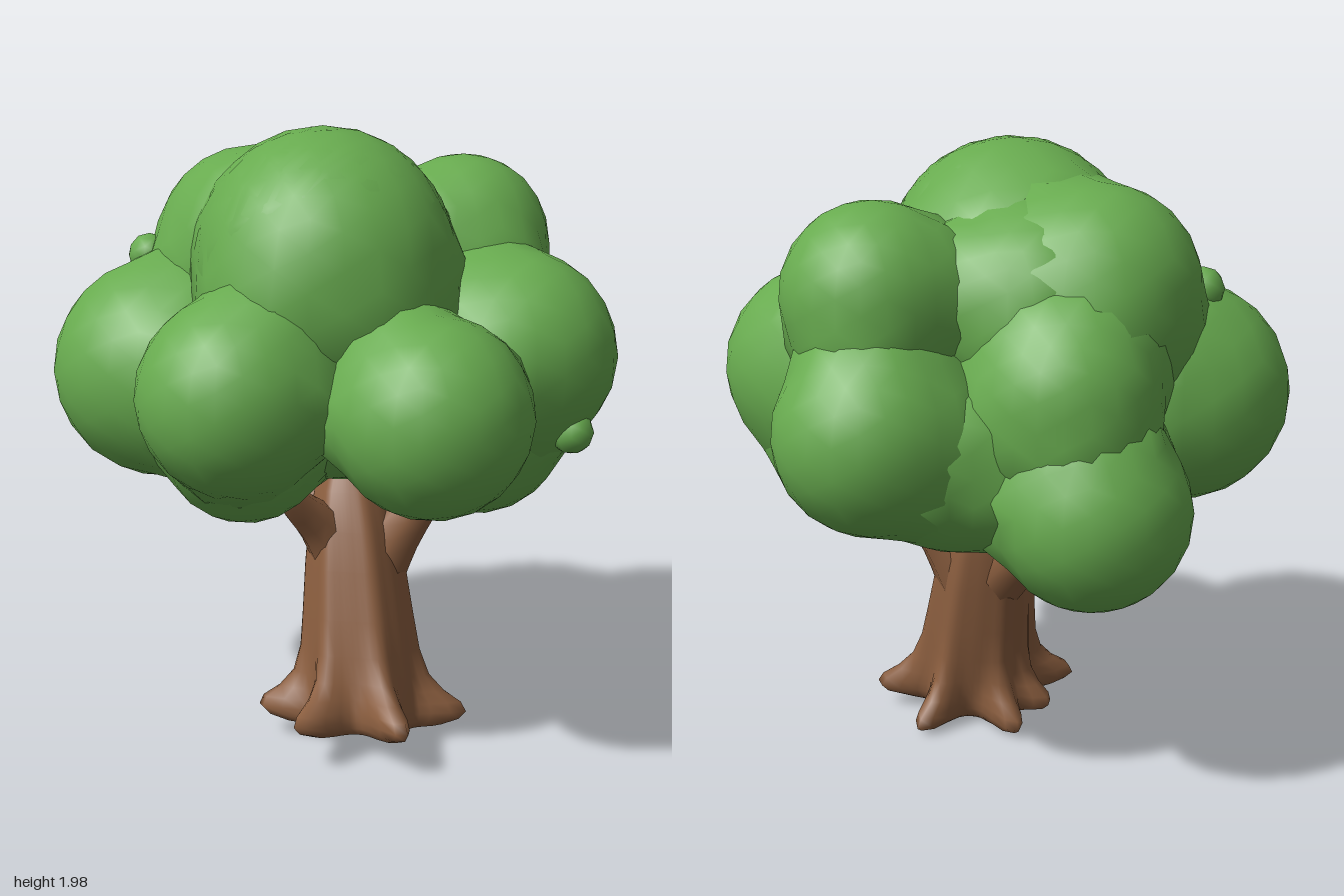
import * as THREE from 'three';
import { mergeVertices } from 'three/addons/utils/BufferGeometryUtils.js';

const leaf = new THREE.MeshStandardMaterial({ color: 0x68ab4f });
leaf.name = 'leaf green';
const bark = new THREE.MeshStandardMaterial({ color: 0x8b5e3f });
bark.name = 'bark brown';

// Leaf clumps: name, x, y, z, radius
const clumps = [
  ['crownClump', 0.01, 1.575, 0.17, 0.385],
  ['crownTopClump', -0.02, 1.61, 0.09, 0.38],
  ['frontRightClump', -0.22, 1.24, 0.47, 0.305],
  ['frontRightLowerClump', -0.24, 1.04, 0.26, 0.26],
  ['frontLeftClump', 0.36, 1.2, 0.47, 0.305],
  ['rightClump', -0.55, 1.205, 0.03, 0.355],
  ['leftClump', 0.57, 1.28, -0.02, 0.33],
  ['leftLowerClump', 0.45, 1.035, -0.07, 0.3],
  ['backLeftUpperClump', 0.38, 1.58, -0.32, 0.285],
  ['backRightUpperClump', -0.28, 1.57, -0.17, 0.33],
  ['backUpperClump', -0.03, 1.55, -0.23, 0.27],
  ['backMiddleClump', -0.2, 1.31, -0.41, 0.29],
  ['backLeftClump', 0.37, 1.19, -0.48, 0.305],
  ['backLowerClump', 0.13, 1.07, -0.4, 0.26],
  ['backRightLowerClump', -0.28, 0.965, -0.48, 0.305],
  ['innerClump', 0.05, 1.28, 0, 0.42],
].map(([name, x, y, z, r]) => ({ name, c: new THREE.Vector3(x, y, z), r }));

// Distance to all clumps, softly joined
function softDistance(p) {
  const k = 0.03;
  let sum = 0;
  for (const { c, r } of clumps) sum += Math.exp(-(p.distanceTo(c) - r) / k);
  return -k * Math.log(sum);
}

function addMesh(parent, name, geometry, material) {
  const m = new THREE.Mesh(geometry, material);
  m.name = name;
  parent.add(m);
  return m;
}

// Weld seams so that normals can be smooth all round
function weld(geometry) {
  geometry.deleteAttribute('uv');
  geometry.deleteAttribute('normal');
  return mergeVertices(geometry, 1e-5);
}

// Sphere whose surface swells a little where it meets its neighbours
function clumpGeometry({ c, r }) {
  const g = weld(new THREE.IcosahedronGeometry(r, 3));
  const pos = g.attributes.position;
  const p = new THREE.Vector3();
  const dir = new THREE.Vector3();
  for (let i = 0; i < pos.count; i++) {
    dir.fromBufferAttribute(pos, i).normalize();
    let d = r;
    for (let n = 0; n < 4; n++) {
      p.copy(c).addScaledVector(dir, d);
      d = THREE.MathUtils.clamp(d - softDistance(p), r, r + 0.05);
    }
    pos.setXYZ(i, dir.x * d, dir.y * d, dir.z * d);
  }
  g.computeVertexNormals();
  return g;
}

// Round limb through points, with one radius per point and a closed tip
function limb(points, radii, sides = 8) {
  const curve = new THREE.CatmullRomCurve3(points.map((p) => new THREE.Vector3(...p)));
  const steps = 8;
  const g = new THREE.TubeGeometry(curve, steps, 1, sides);
  const pos = g.attributes.position;
  const p = new THREE.Vector3();
  for (let i = 0; i <= steps; i++) {
    const t = i / steps;
    const f = t * (radii.length - 1);
    const a = Math.min(Math.floor(f), radii.length - 2);
    const r = i === steps ? 0.001 : THREE.MathUtils.lerp(radii[a], radii[a + 1], f - a);
    const c = curve.getPointAt(t);
    for (let j = 0; j <= sides; j++) {
      const n = i * (sides + 1) + j;
      p.fromBufferAttribute(pos, n).sub(c).multiplyScalar(r).add(c);
      pos.setXYZ(n, p.x, p.y, p.z);
    }
  }
  const smooth = weld(g);
  smooth.computeVertexNormals();
  return smooth;
}

// Root directions in degrees from the front, with their relative length
const roots = [[-28, 1.15], [28, 1.15], [98, 1], [150, 1], [-150, 1], [-118, 0.8], [-82, 1.05]];

// How far a root reaches out in a given direction, 0 to about 1
function rootReach(angle) {
  return Math.max(...roots.map(([deg, len]) => {
    const off = angle - THREE.MathUtils.degToRad(deg);
    const turn = Math.atan2(Math.sin(off), Math.cos(off));
    return len * Math.exp(-((turn / 0.22) ** 2));
  }));
}

// Trunk flaring into roots: rows of height, core radius and root length
function trunkGeometry() {
  const rows = [[0, 0, 0], [0, 0.165, 0.09], [0.02, 0.175, 0.14], [0.045, 0.18, 0.16], [0.075, 0.18, 0.145],
    [0.11, 0.18, 0.09], [0.16, 0.178, 0.045], [0.24, 0.174, 0.022], [0.35, 0.168, 0.014], [0.5, 0.153, 0.012],
    [0.62, 0.138, 0.01], [0.74, 0.113, 0.006], [0.88, 0.06, 0], [0.98, 0, 0]];
  const segments = 60;
  const g = new THREE.LatheGeometry(rows.map(([y, r]) => new THREE.Vector2(r, y)), segments);
  const pos = g.attributes.position;
  for (let i = 0; i < pos.count; i++) {
    const [y, core, reach] = rows[i % rows.length];
    const a = (Math.floor(i / rows.length) % segments) * 2 * Math.PI / segments;
    const r = core + reach * rootReach(a);
    pos.setXYZ(i, Math.sin(a) * r, y, Math.cos(a) * r);
  }
  // The whole trunk leans backward
  const lean = new THREE.Matrix4().makeBasis(
    new THREE.Vector3(1, 0, 0), new THREE.Vector3(-0.1, 1, -0.26), new THREE.Vector3(0, 0.21, 1),
  ).setPosition(0.13, 0.062, 0.18);
  const smooth = weld(g).applyMatrix4(lean);
  smooth.computeVertexNormals();
  return smooth;
}

export function createModel() {
  const tree = new THREE.Group();
  tree.name = 'tree';

  // Canopy
  const canopy = new THREE.Group();
  canopy.name = 'canopy';
  tree.add(canopy);
  for (const clump of clumps) {
    addMesh(canopy, clump.name, clumpGeometry(clump), leaf).position.copy(clump.c);
  }

  // Small leaf tufts poking out of the clumps
  [[-0.61, 1.555, -0.06], [0.765, 1.07, 0.12]].forEach(([x, y, z]) => {
    addMesh(canopy, 'leafTuft', new THREE.IcosahedronGeometry(0.07, 1), leaf).position.set(x, y, z);
  });

  // Trunk with its roots, and branches reaching into the canopy
  const wood = new THREE.Group();
  wood.name = 'wood';
  tree.add(wood);
  addMesh(wood, 'trunkAndRoots', trunkGeometry(), bark);
  addMesh(wood, 'rightBranch', limb([[0.06, 0.5, 0.03], [-0.05, 0.67, -0.1], [-0.18, 0.81, -0.24], [-0.25, 0.92, -0.32]],
    [0.1, 0.09, 0.06, 0.03]), bark);
  addMesh(wood, 'leftBranch', limb([[0.11, 0.5, 0.04], [0.2, 0.66, 0.03], [0.31, 0.81, 0.02], [0.4, 0.95, 0.02]],
    [0.12, 0.09, 0.06, 0.03]), bark);
  addMesh(wood, 'frontBranch', limb([[0.05, 0.55, 0.05], [-0.02, 0.7, 0.1], [-0.1, 0.82, 0.19], [-0.15, 0.92, 0.25]],
    [0.1, 0.08, 0.055, 0.03]), bark);

  return tree;
}
